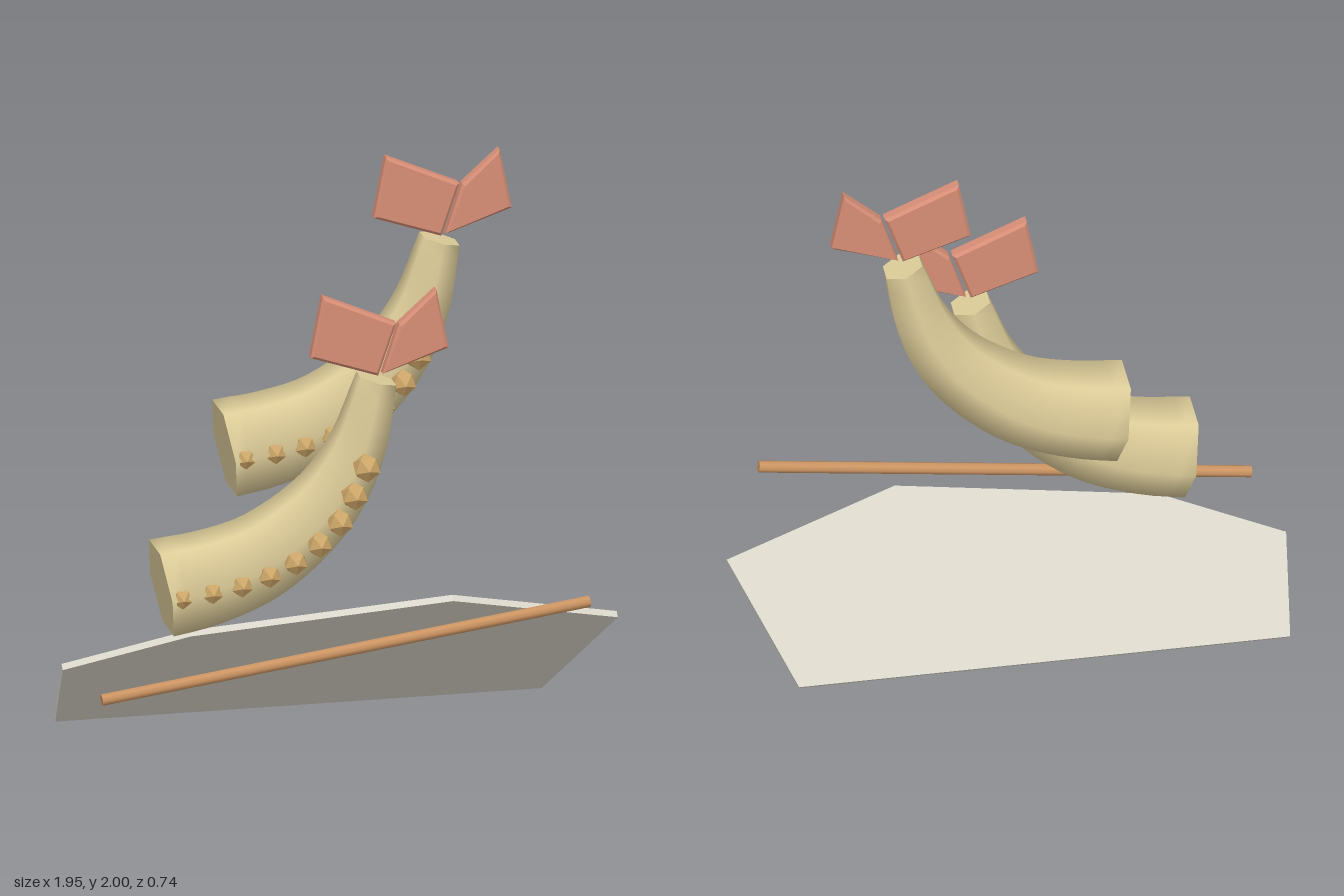
import * as THREE from 'three';

const mat = (name, color, extra = {}) => Object.assign(new THREE.MeshStandardMaterial({ color, ...extra }), { name });

const SIDES = 6, RINGS = 20, CENTRE_Z = 0.103;
const v2 = (pts) => pts.map(([x, y]) => new THREE.Vector2(x, y));
const v3 = (pts, z) => pts.map(([x, y]) => new THREE.Vector3(x, y, z));

// Six-sided tapering tube along a flat curve, smooth sides and flat caps
function armGeometry(curve) {
  const pos = [], index = [];
  const ring = (t) => {
    const c = curve.getPointAt(t), d = curve.getTangentAt(t);
    const r = 0.175 - 0.1 * Math.pow(t, 1.4);
    for (let j = 0; j < SIDES; j++) {
      const a = Math.PI / 2 + (j / SIDES) * Math.PI * 2;
      const n = r * Math.cos(a);
      pos.push(c.x - d.y * n, c.y + d.x * n, c.z + r * Math.sin(a));
    }
  };
  for (let i = 0; i <= RINGS; i++) ring(i / RINGS);
  for (let i = 0; i < RINGS; i++) {
    for (let j = 0; j < SIDES; j++) {
      const k = (j + 1) % SIDES, a = i * SIDES, b = a + SIDES;
      index.push(a + j, a + k, b + j, a + k, b + k, b + j);
    }
  }
  // Caps use their own vertices so the rims stay sharp
  const low = pos.length / 3;
  ring(0);
  ring(1);
  const high = low + SIDES;
  for (let j = 1; j < SIDES - 1; j++) {
    index.push(low, low + j + 1, low + j, high, high + j, high + j + 1);
  }
  const g = new THREE.BufferGeometry();
  g.setAttribute('position', new THREE.Float32BufferAttribute(pos, 3));
  g.setIndex(index);
  g.computeVertexNormals();
  return g;
}

// Bevelled plate from a four-corner outline
function finGeometry(corners) {
  return new THREE.ExtrudeGeometry(new THREE.Shape(v2(corners)), {
    depth: 0.032, bevelEnabled: true, bevelThickness: 0.01, bevelSize: 0.01, bevelOffset: -0.01, bevelSegments: 1,
  }).translate(0, 0, 0.104);
}

export function createModel() {
  const skin = mat('sand', 0xdccb98);
  const cup = mat('ochre', 0xcda668, { flatShading: true });
  const coral = mat('coral', 0xd78e76);
  const stone = mat('paleStone', 0xd9d5c9);
  const wood = mat('wood', 0xcc9462);

  const model = new THREE.Group();
  const add = (parent, name, geometry, material) => {
    const m = new THREE.Mesh(geometry, material);
    m.name = name;
    parent.add(m);
    return m;
  };

  const armPath = new THREE.CatmullRomCurve3(v3([
    [-0.655, 0.58], [-0.5, 0.605], [-0.3, 0.675], [-0.085, 0.845], [0.03, 1.03], [0.105, 1.285],
  ], CENTRE_Z));
  const cupPath = new THREE.CatmullRomCurve3(v3([
    [-0.616, 0.585], [-0.405, 0.616], [-0.214, 0.685], [-0.055, 0.817], [0.04, 1.008],
  ], 0));
  const armGeo = armGeometry(armPath);
  // Icosahedron turned so that one corner points forward
  const cupGeo = new THREE.IcosahedronGeometry(1, 0).rotateX(Math.atan(2 / (1 + Math.sqrt(5))));
  const finGeos = [
    finGeometry([[-0.134, 1.385], [0.104, 1.305], [0.168, 1.491], [-0.092, 1.604]]),
    finGeometry([[0.12, 1.311], [0.353, 1.39], [0.31, 1.604], [0.178, 1.487]]),
  ];

  // Two matching tentacles, the second one higher and further back
  [['frontTentacle', 0, 0, 0], ['rearTentacle', 0.29, 0.395, -0.293]].forEach(([name, x, y, z]) => {
    const t = new THREE.Group();
    t.name = name;
    t.position.set(x, y, z);
    add(t, 'arm', armGeo, skin);
    for (let i = 0; i < 9; i++) {
      const r = 0.038 + 0.0017 * i;
      const s = add(t, 'sucker', cupGeo, cup);
      s.position.copy(cupPath.getPoint(i / 8)).setZ(0.29 - r);
      s.scale.setScalar(r);
    }
    finGeos.forEach((g) => add(t, 'tipFin', g, coral));
    model.add(t);
  });

  // Thin slab leaning forward
  const slabShape = new THREE.Shape(v2([
    [-0.945, 0], [0.775, 0], [0.972, 0.467], [0.36, 0.663], [-0.55, 0.54], [-0.975, 0.363],
  ]));
  const slab = add(model, 'leaningSlab',
    new THREE.ExtrudeGeometry(slabShape, { depth: 0.025, bevelEnabled: false }).translate(0, 0, -0.025), stone);
  slab.rotation.x = THREE.MathUtils.degToRad(43);
  slab.position.z = -0.272;

  // Slanted rod in front
  const a = new THREE.Vector3(-0.922, 0.27, 0.35), b = new THREE.Vector3(0.803, 0.506, 0.35);
  const rod = add(model, 'rod', new THREE.CylinderGeometry(0.021, 0.021, a.distanceTo(b), 8), wood);
  rod.position.lerpVectors(a, b, 0.5);
  rod.quaternion.setFromUnitVectors(new THREE.Vector3(0, 1, 0), b.clone().sub(a).normalize());

  return model;
}
